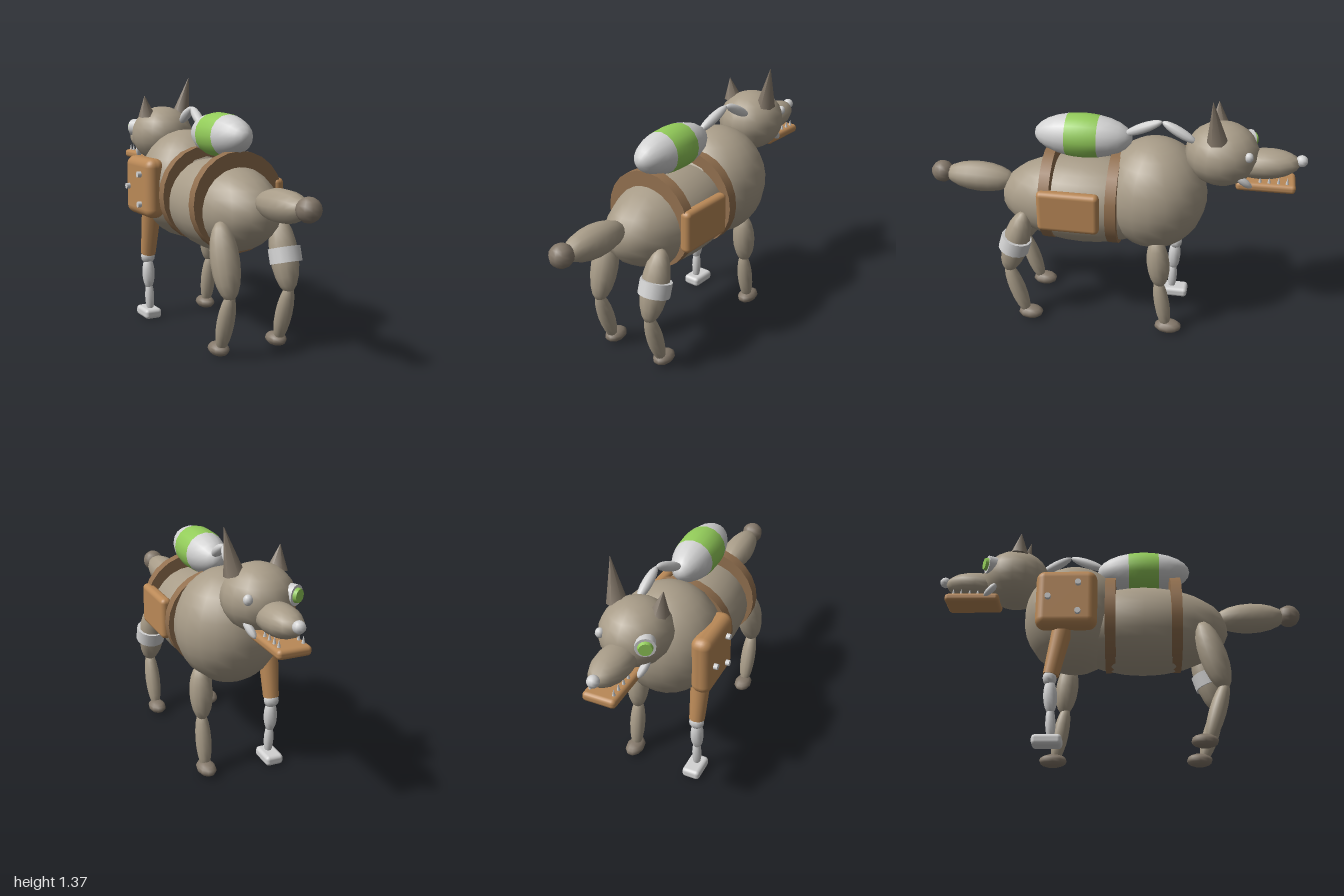
import * as THREE from 'three';
import { RoundedBoxGeometry } from 'three/addons/geometries/RoundedBoxGeometry.js';

const mat = (name, color) => {
  const m = new THREE.MeshStandardMaterial({ color });
  m.name = name;
  return m;
};

export function createModel() {
  const fur = mat('fur', 0xa89c88);
  const darkFur = mat('dark fur', 0x84786a);
  const metal = mat('pale metal', 0xd2d2d2);
  const leather = mat('tan leather', 0xba8957);
  const strapMat = mat('brown strap', 0x92704f);
  const green = mat('green glow', 0x93cc5a);

  const model = new THREE.Group();
  model.name = 'armouredDog';
  const CX = 0.02; // the body's centre line
  const UP = new THREE.Vector3(0, 1, 0);
  const V = (a) => new THREE.Vector3(...a);

  const add = (name, geo, material, pos = [0, 0, 0]) => {
    const m = new THREE.Mesh(geo, material);
    m.name = name;
    m.position.set(...pos);
    model.add(m);
    return m;
  };
  const ball = (name, material, pos, [rx, ry, rz], seg = 16) => {
    const g = new THREE.SphereGeometry(1, seg, Math.round(seg * 0.75));
    return add(name, g.scale(rx, ry, rz), material, pos);
  };
  // Places a y-aligned geometry so that its axis runs from a to b
  const along = (name, geo, material, a, b) => {
    const A = V(a), B = V(b);
    const m = add(name, geo, material, A.clone().add(B).multiplyScalar(0.5).toArray());
    m.quaternion.setFromUnitVectors(UP, B.sub(A).normalize());
    return m;
  };
  // Spindle-shaped limb segment with its tips at a and b
  const limb = (name, material, a, b, r, seg = 12) => {
    const len = V(a).distanceTo(V(b));
    return along(name, new THREE.SphereGeometry(1, seg, 10).scale(r, len / 2, r), material, a, b);
  };
  const rod = (name, material, a, b, r0, r1 = r0, seg = 12) =>
    along(name, new THREE.CylinderGeometry(r1, r0, V(a).distanceTo(V(b)), seg), material, a, b);

  // Trunk
  ball('chest', fur, [CX, 0.785, -0.233], [0.277, 0.303, 0.277], 20);
  ball('abdomen', fur, [CX, 0.717, 0.14], [0.24, 0.241, 0.46], 20);
  for (const z of [0.313, -0.035])
    rod('bodyStrap', strapMat, [CX, 0.753, z - 0.028], [CX, 0.753, z + 0.028], 0.261, 0.261, 24);

  // Tail
  limb('tail', fur, [CX, 0.785, 0.53], [CX, 0.8, 0.92], 0.082);
  ball('tailTip', darkFur, [CX, 0.805, 0.938], [0.06, 0.06, 0.062], 10);

  // Head, snout and jaw
  ball('head', fur, [CX, 1.04, -0.57], [0.177, 0.164, 0.188]);
  ball('snout', fur, [CX, 1.0, -0.785], [0.09, 0.077, 0.178], 14).rotation.x = 0.08;
  ball('nose', metal, [CX, 1.028, -0.968], [0.031, 0.03, 0.031], 10);
  add('jaw', new RoundedBoxGeometry(0.17, 0.048, 0.3, 2, 0.02), leather, [CX, 0.898, -0.8]);
  for (const s of [-1, 1]) {
    for (const z of [-0.77, -0.815, -0.862, -0.905])
      rod('tooth', metal, [CX + s * 0.06, 0.91, z], [CX + s * 0.06, 0.955, z], 0.011, 0.001, 6);
    limb('jawHinge', metal, [CX + s * 0.11, 0.97, -0.65], [CX + s * 0.085, 0.9, -0.73], 0.02, 8);
  }

  // Ears, one of them shortened
  const ear = (name, a, b, r) => rod(name, darkFur, a, b, r, 0.001, 6).material;
  ear('leftEar', [0.13, 1.15, -0.545], [0.17, 1.372, -0.515], 0.052);
  ear('rightEar', [-0.09, 1.15, -0.545], [-0.108, 1.268, -0.535], 0.05);

  // Plain eye and glowing lens
  ball('plainEye', metal, [0.135, 1.08, -0.705], [0.023, 0.026, 0.023], 10);
  const lensAt = (d) => [-0.092 - 0.47 * d, 1.075, -0.695 - 0.88 * d];
  rod('lensHousing', metal, lensAt(-0.03), lensAt(0.025), 0.05, 0.05, 14);
  rod('lens', green, lensAt(0.02), lensAt(0.042), 0.038, 0.032, 14);

  // Hind legs
  for (const s of [-1, 1]) {
    const x = CX + s * 0.17;
    limb('hindThigh', fur, [x, 0.69, 0.44], [x, 0.31, 0.55], 0.073);
    limb('hindShin', fur, [x, 0.36, 0.555], [x, 0.03, 0.45], 0.044);
    ball('hindPaw', darkFur, [x, 0.042, 0.433], [0.05, 0.036, 0.07], 10);
  }
  rod('thighBand', metal, [0.195, 0.458, 0.51], [0.195, 0.533, 0.487], 0.083, 0.083, 14);

  // Natural front leg
  limb('frontUpperLeg', fur, [0.19, 0.6, -0.265], [0.19, 0.3, -0.295], 0.061);
  limb('frontLowerLeg', fur, [0.19, 0.35, -0.28], [0.19, 0.03, -0.335], 0.042);
  ball('frontPaw', darkFur, [0.19, 0.042, -0.345], [0.05, 0.036, 0.075], 10);

  // Mechanical front leg
  rod('mechanicalUpperLeg', leather, [-0.185, 0.65, -0.28], [-0.185, 0.38, -0.335], 0.055, 0.042);
  ball('mechanicalKnee', metal, [-0.185, 0.362, -0.34], [0.042, 0.042, 0.036], 10);
  limb('mechanicalShin', metal, [-0.185, 0.36, -0.338], [-0.185, 0.17, -0.33], 0.036, 10);
  limb('mechanicalAnkle', metal, [-0.183, 0.22, -0.332], [-0.18, 0.03, -0.325], 0.026, 10);
  add('mechanicalFoot', new RoundedBoxGeometry(0.1, 0.056, 0.15, 2, 0.02), metal, [-0.18, 0.033, -0.343]);

  // Shoulder plate with bolts
  add('shoulderPlate', new RoundedBoxGeometry(0.11, 0.325, 0.32, 3, 0.048), leather, [-0.23, 0.78, -0.262]);
  for (const [y, z] of [[0.855, -0.2], [0.69, -0.2], [0.775, -0.355]])
    rod('plateBolt', metal, [-0.27, y, z], [-0.306, y, z], 0.016, 0.016, 10);

  // Saddle bag
  add('saddleBag', new RoundedBoxGeometry(0.06, 0.225, 0.325, 3, 0.026), leather, [0.257, 0.752, 0.187]);

  // Tank on the back, in three bands
  const bands = [0, 1.24, 1.9, Math.PI];
  for (let i = 0; i < 3; i++) {
    const g = new THREE.SphereGeometry(1, 16, 5, 0, Math.PI * 2, bands[i], bands[i + 1] - bands[i]);
    g.scale(0.116, 0.258, 0.116).rotateX(Math.PI / 2);
    add(i === 1 ? 'tankBand' : 'tankEnd', g, i === 1 ? green : metal, [CX, 1.083, 0.147]);
  }

  // Hose from tank to neck
  const hose = [[0.03, 1.11, -0.07], [0.063, 1.208, -0.265], [0.08, 1.115, -0.44]];
  for (let i = 0; i < 2; i++) limb('hose', metal, hose[i], hose[i + 1], 0.027, 10);

  return model;
}
